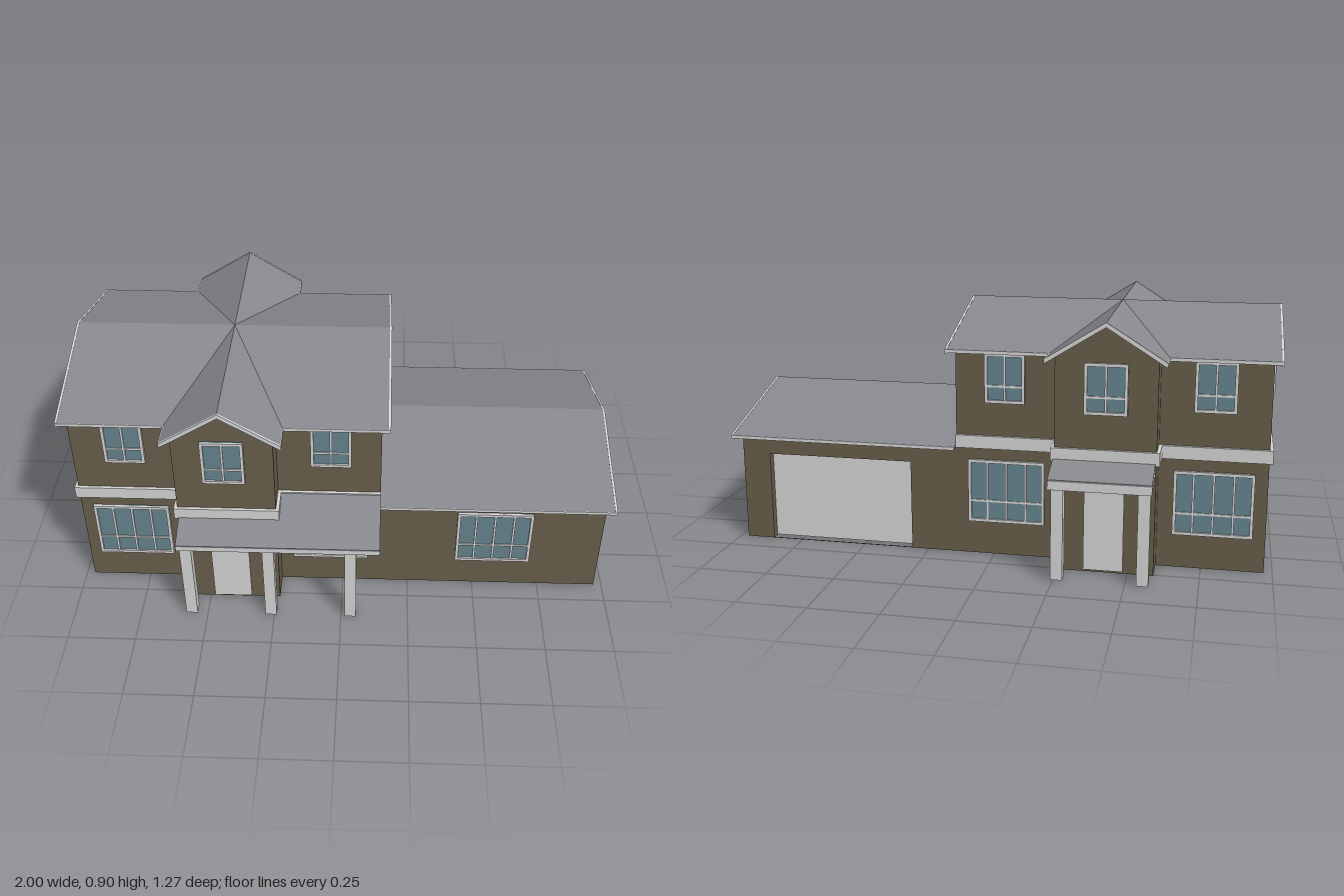
import * as THREE from 'three';

const mat = (name, color, side = THREE.FrontSide) => {
  const m = new THREE.MeshStandardMaterial({ color, side });
  m.name = name;
  return m;
};

export function createModel() {
  const wallMat = mat('brown walls', 0x685e4a, THREE.DoubleSide);
  const roofMat = mat('grey roof', 0x88898e, THREE.DoubleSide);
  const trimMat = mat('white trim', 0xd6d6d6);
  const glassMat = mat('window glass', 0x66858f);

  const house = new THREE.Group();
  house.name = 'house';
  house.position.z = 0.006;

  const add = (name, geo, material, parent = house) => {
    const mesh = new THREE.Mesh(geo, material);
    mesh.name = name;
    parent.add(mesh);
    return mesh;
  };
  const box = (name, x0, x1, y0, y1, z0, z1, material = trimMat, parent = house) => {
    const mesh = add(name, new THREE.BoxGeometry(x1 - x0, y1 - y0, z1 - z0), material, parent);
    mesh.position.set((x0 + x1) / 2, (y0 + y1) / 2, (z0 + z1) / 2);
    return mesh;
  };
  const shapeOf = pts => new THREE.Shape(pts.map(p => new THREE.Vector2(...p)));
  const rect = (x0, x1, y0, y1) => [[x0, y0], [x1, y0], [x1, y1], [x0, y1]];

  // Profiles run along z, or along x when the profile is given as (z, y)
  const alongZ = (pts, a, b) =>
    new THREE.ExtrudeGeometry(shapeOf(pts), { depth: b - a, bevelEnabled: false }).translate(0, 0, a);
  const alongX = (pts, a, b) =>
    new THREE.ExtrudeGeometry(shapeOf(pts), { depth: b - a, bevelEnabled: false })
      .rotateY(-Math.PI / 2).translate(b, 0, 0);

  // Main dimensions
  const L = -0.97, M = 0.14, R = 0.97, W = 0.41, BAY = 0.513;
  const bayL = -0.59, bayR = -0.235, bayX = -0.4125, DROP = 0.13;

  // Walls: flat panels, open underneath
  const wallZ = (name, pts, z, hole) => {
    const s = shapeOf(pts);
    if (hole) s.holes.push(new THREE.Path(hole.map(p => new THREE.Vector2(...p))));
    add(name, new THREE.ShapeGeometry(s).translate(0, 0, z), wallMat);
  };
  const wallX = (name, pts, x) =>
    add(name, new THREE.ShapeGeometry(shapeOf(pts)).rotateY(-Math.PI / 2).translate(x, 0, 0), wallMat);
  const gable = (y0, eave, ridge) => [[-W, y0], [W, y0], [W, eave], [0, ridge], [-W, eave]];

  wallX('leftGableWall', gable(0, 0.768, 0.888), L);
  wallX('upperRightGableWall', gable(0.40, 0.768, 0.888), M);
  wallX('wingGableWall', gable(0, 0.408, 0.528), R);
  const door0 = 0.315, door1 = 0.865, doorTop = 0.335;
  wallZ('wingFrontWall', rect(M, R, 0, 0.41), W);
  wallZ('wingBackWall', rect(M, R, 0, 0.41), -W, rect(door0, door1, 0.003, doorTop));
  for (const s of [1, -1]) {
    wallZ('mainWallLeft', rect(L, bayL, 0, 0.768), s * W);
    wallZ('mainWallRight', rect(bayR, M, 0, 0.768), s * W);
    wallZ('bayWall', [[bayL, 0], [bayR, 0], [bayR, 0.77], [bayX, 0.885], [bayL, 0.77]], s * BAY);
    const side = s > 0 ? rect(W, BAY, 0, 0.77) : rect(-BAY, -W, 0, 0.77);
    wallX('baySideLeft', side, bayL);
    wallX('baySideRight', side, bayR);
  }

  // Ceiling over the ground floor
  const ceilY = 0.43;
  box('mainCeiling', L + 0.002, M - 0.002, ceilY, ceilY + 0.005, -W + 0.002, W - 0.002, roofMat);
  box('bayCeiling', bayL + 0.002, bayR - 0.002, ceilY, ceilY + 0.004, -BAY + 0.002, BAY - 0.002, roofMat);

  // Pitched roofs with white rake boards and eave strips
  const pitch = (c, half, ridge, t) => [
    [c - half, ridge - DROP], [c - half, ridge - DROP - t], [c, ridge - t],
    [c + half, ridge - DROP - t], [c + half, ridge - DROP], [c, ridge]];
  const roof = (name, extrude, c, half, ridge, a, b, ends) => {
    add(name, extrude(pitch(c, half, ridge, 0.012), a, b), roofMat);
    for (const e of ends)
      add(name + 'Rake', extrude(pitch(c, half + 0.001, ridge + 0.001, 0.017), e - 0.004, e + 0.004), trimMat);
  };
  roof('mainRoof', alongX, 0, 0.446, 0.897, -0.996, 0.166, [-0.996, 0.166]);
  roof('wingRoof', alongX, 0, 0.446, 0.54, M, 0.996, [0.996]);
  roof('crossRoof', alongZ, bayX, 0.207, 0.897, -0.546, 0.546, [-0.546, 0.546]);
  for (const s of [1, -1]) {
    const z0 = s * 0.447 - 0.002, z1 = s * 0.447 + 0.002;
    box('mainEaveLeft', -1, bayX - 0.207, 0.755, 0.767, z0, z1);
    box('mainEaveRight', bayX + 0.207, 0.17, 0.755, 0.767, z0, z1);
    box('wingEave', M, 1, 0.398, 0.41, z0, z1);
    for (const e of [-1, 1]) {
      const x = bayX + e * 0.208;
      const [a, b] = s > 0 ? [0.43, 0.548] : [-0.548, -0.43];
      box('crossEave', x - 0.002, x + 0.002, 0.755, 0.767, a, b);
    }
  }

  // White belt between the floors
  const b0 = 0.403, b1 = 0.45, o = 0.012;
  box('beltLeft', L - o, L, b0, b1, -W - o, W + o);
  for (const s of [1, -1]) {
    const span = (p, q) => s > 0 ? [p, q] : [-q, -p];
    box('beltMainLeft', L - o, bayL, b0, b1, ...span(W, W + o));
    box('beltMainRight', bayR, M, b0, b1, ...span(W, W + o));
    box('beltBay', bayL - o, bayR + o, b0, b1, ...span(BAY, BAY + o));
    box('beltBaySideLeft', bayL - o, bayL, b0, b1, ...span(W, BAY));
    box('beltBaySideRight', bayR, bayR + o, b0, b1, ...span(W, BAY));
  }

  // Porches: sloping white slab, grey covering and square posts
  const porch = (name, s, x0, x1, t, postXs, edge) => {
    const pts = (top, th) => [[s * W, 0.443 + top], [s * edge, 0.365 + top],
      [s * edge, 0.365 + top - th], [s * W, 0.443 + top - th]];
    add(name + 'Frame', alongX(pts(0, t), x0, x1), trimMat);
    add(name + 'Roof', alongX(pts(0.006, 0.006), x0, x1), roofMat);
    const pz = s * (edge - 0.046);
    for (const x of postXs) box(name + 'Post', x - 0.021, x + 0.021, 0, 0.37, pz - 0.02, pz + 0.02);
  };
  porch('frontPorch', 1, -0.587, M, 0.018, [-0.56, -0.262, 0.035], 0.632);
  porch('backPorch', -1, -0.587, -0.232, 0.03, [-0.56, -0.262], 0.642);

  // Windows: glass plate, frame and glazing bars, built facing +z
  const windowAt = (name, w, y0, y1, cols, x, z, turn) => {
    const g = new THREE.Group();
    g.name = name;
    const h = w / 2, f = 0.011, d = 0.012, bar = y0 + (y1 - y0) * 0.34;
    box('glass', -h, h, y0, y1, 0, 0.005, glassMat, g);
    for (const s of [-1, 1]) box('frameSide', s * (h - f / 2) - f / 2, s * (h - f / 2) + f / 2, y0, y1, 0, d, trimMat, g);
    box('frameTop', -h + f, h - f, y1 - f, y1, 0, d, trimMat, g);
    box('frameSill', -h + f, h - f, y0, y0 + f, 0, d, trimMat, g);
    box('crossBar', -h + f, h - f, bar - 0.004, bar + 0.004, 0, 0.009, trimMat, g);
    for (let i = 1; i < cols; i++) {
      const bx = -h + w * i / cols;
      box('uprightBar', bx - 0.004, bx + 0.004, y0 + f, y1 - f, 0, 0.01, trimMat, g);
    }
    g.position.set(x, 0, z);
    g.rotation.y = turn;
    house.add(g);
  };
  for (const s of [1, -1]) {
    const turn = s > 0 ? 0 : Math.PI;
    for (const x of [-0.78, -0.04]) {
      windowAt('upperWindow', 0.145, 0.573, 0.753, 2, x, s * W, turn);
      windowAt('lowerWindow', 0.28, 0.125, 0.36, 4, x - 0.005, s * W, turn);
    }
    windowAt('bayWindow', 0.15, 0.573, 0.753, 2, bayX, s * BAY, turn);
    box('entryDoor', bayX - 0.07, bayX + 0.07, 0.008, 0.31, s * BAY - 0.006, s * BAY + 0.006);
    const z = s * 0.186;
    windowAt('rightUpperWindow', 0.08, 0.608, 0.75, 1, M, z, Math.PI / 2);
    windowAt('leftUpperWindow', 0.08, 0.608, 0.75, 1, L, z, -Math.PI / 2);
    windowAt('wingEndWindow', 0.08, 0.213, 0.355, 1, R, z, Math.PI / 2);
  }
  windowAt('wingFrontWindow', 0.28, 0.125, 0.36, 4, 0.567, W, 0);
  windowAt('leftLowerWindow', 0.22, 0.125, 0.36, 3, L, 0.19, -Math.PI / 2);

  // Garage door set back in its opening
  const inZ = -W + 0.04;
  box('garageJambLeft', door1, door1 + 0.006, 0, doorTop, -W + 0.001, inZ, wallMat);
  box('garageJambRight', door0 - 0.006, door0, 0, doorTop, -W + 0.001, inZ, wallMat);
  box('garageLintel', door0, door1, doorTop, doorTop + 0.006, -W + 0.001, inZ, wallMat);
  box('garageDoor', door0, door1, 0.003, doorTop, inZ - 0.01, inZ);

  const model = new THREE.Group();
  model.name = 'model';
  model.add(house);
  return model;
}
